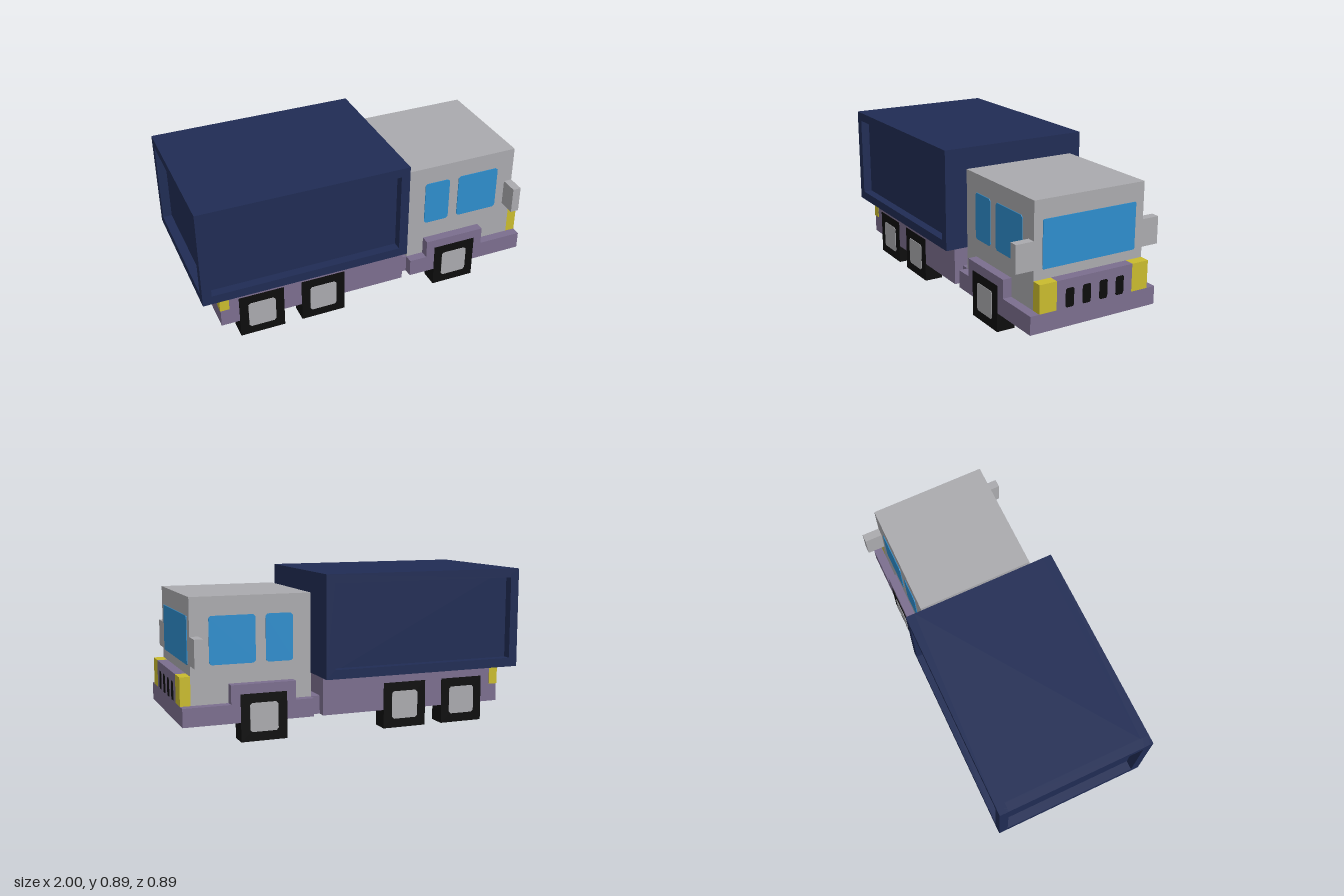
import * as THREE from 'three';

const mat = (name, color) => {
  const m = new THREE.MeshStandardMaterial({ color });
  m.name = name;
  return m;
};

export function createModel() {
  const purple = mat('chassis purple', 0x7b6e8e);
  const navy = mat('cargo navy', 0x202c54);
  const grey = mat('cab grey', 0xaaaaae);
  const blue = mat('glass blue', 0x2e8dcc);
  const yellow = mat('lamp yellow', 0xc9bb2e);
  const black = mat('tyre black', 0x0d0d0d);

  const truck = new THREE.Group();
  truck.name = 'truck';

  const add = (name, geometry, material) => {
    const mesh = new THREE.Mesh(geometry, material);
    mesh.name = name;
    truck.add(mesh);
    return mesh;
  };

  // Box given by its minimum and maximum on each axis
  const box = (name, material, [x0, x1], [y0, y1], [z0, z1]) =>
    add(name, new THREE.BoxGeometry(x1 - x0, y1 - y0, z1 - z0)
      .translate((x0 + x1) / 2, (y0 + y1) / 2, (z0 + z1) / 2), material);

  // The same box on both sides of the truck
  const pair = (name, material, x, y, [z0, z1]) => {
    box(name + 'Near', material, x, y, [z0, z1]);
    box(name + 'Far', material, x, y, [-z1, -z0]);
  };

  // Thin plate with clipped corners, facing +z
  const plate = (w, h, c = 0.012) => {
    const a = w / 2, b = h / 2;
    const shape = new THREE.Shape([
      [-a + c, -b], [a - c, -b], [a, -b + c], [a, b - c],
      [a - c, b], [-a + c, b], [-a, b - c], [-a, -b + c],
    ].map(([x, y]) => new THREE.Vector2(x, y)));
    return new THREE.ExtrudeGeometry(shape, { depth: 0.004, bevelEnabled: false });
  };

  // Plate on both long sides
  const sidePlates = (name, material, [x0, x1], [y0, y1], z) => {
    for (const s of [1, -1]) {
      const g = plate(x1 - x0, y1 - y0);
      if (s < 0) g.rotateY(Math.PI);
      g.translate((x0 + x1) / 2, (y0 + y1) / 2, s * z);
      add(name, g, material);
    }
  };

  // Plate on the nose, facing +x
  const nosePlate = (name, material, x, [y0, y1], [z0, z1], c) =>
    add(name, plate(z1 - z0, y1 - y0, c).rotateY(Math.PI / 2)
      .translate(x, (y0 + y1) / 2, (z0 + z1) / 2), material);

  // Rectangular frame, extruded along +z
  const frame = (x0, x1, y0, y1, border, depth) => {
    const rect = (p, Type) => new Type([
      new THREE.Vector2(x0 + p, y0 + p), new THREE.Vector2(x1 - p, y0 + p),
      new THREE.Vector2(x1 - p, y1 - p), new THREE.Vector2(x0 + p, y1 - p),
    ]);
    const shape = rect(0, THREE.Shape);
    shape.holes.push(rect(border, THREE.Path));
    return new THREE.ExtrudeGeometry(shape, { depth, bevelEnabled: false });
  };

  // Cargo body with sunken panels on the sides and back
  const T = 0.052;
  box('cargoCore', navy, [-1 + T, 0.21], [0.316, 0.895], [-0.395, 0.395]);
  add('cargoFrameNear', frame(-1, 0.21, 0.316, 0.895, T, T).translate(0, 0, 0.395), navy);
  add('cargoFrameFar', frame(-1, 0.21, 0.316, 0.895, T, T).translate(0, 0, -0.447), navy);
  add('cargoFrameBack', frame(-0.447, 0.447, 0.316, 0.895, T, T)
    .rotateY(-Math.PI / 2).translate(-1 + T, 0, 0), navy);

  // Chassis, step and fenders
  box('rearChassis', purple, [-0.895, 0.21], [0.107, 0.316], [-0.395, 0.395]);
  box('chassisLink', purple, [0.21, 0.263], [0.107, 0.21], [-0.342, 0.342]);
  box('cabSkirt', purple, [0.263, 1], [0.107, 0.21], [-0.395, 0.395]);
  pair('fender', purple, [0.368, 0.735], [0.21, 0.316], [0.342, 0.395]);

  // Cab, mirrors and windows
  box('cab', grey, [0.263, 0.942], [0.21, 0.79], [-0.342, 0.342]);
  pair('mirror', grey, [0.893, 0.942], [0.425, 0.58], [0.342, 0.447]);
  nosePlate('windscreen', blue, 0.942, [0.422, 0.686], [-0.29, 0.29], 0.006);
  sidePlates('rearSideWindow', blue, [0.367, 0.522], [0.422, 0.686], 0.342);
  sidePlates('frontSideWindow', blue, [0.58, 0.838], [0.422, 0.686], 0.342);

  // Grille with slots and headlamps
  box('grille', purple, [0.942, 1], [0.21, 0.368], [-0.238, 0.238]);
  pair('headlamp', yellow, [0.942, 1], [0.21, 0.368], [0.238, 0.342]);
  for (const z of [-0.158, -0.053, 0.053, 0.158]) {
    nosePlate('grilleSlot', black, 0.997, [0.212, 0.317], [z - 0.026, z + 0.026], 0.008);
  }

  // Rear lamps and number plate panel
  pair('rearLamp', yellow, [-0.898, -0.845], [0.21, 0.315], [0.345, 0.398]);
  box('rearPlate', grey, [-0.899, -0.892], [0.107, 0.26], [-0.085, 0.085]);
  box('rearPlateUnderside', grey, [-0.895, -0.85], [0.104, 0.11], [-0.07, 0.07]);

  // Square wheels with hubs
  for (const x of [-0.658, -0.29, 0.552]) {
    pair('wheel', black, [x - 0.131, x + 0.131], [0, 0.263], [0.29, 0.398]);
    sidePlates('hub', grey, [x - 0.08, x + 0.08], [0.052, 0.212], 0.397);
  }

  return truck;
}
